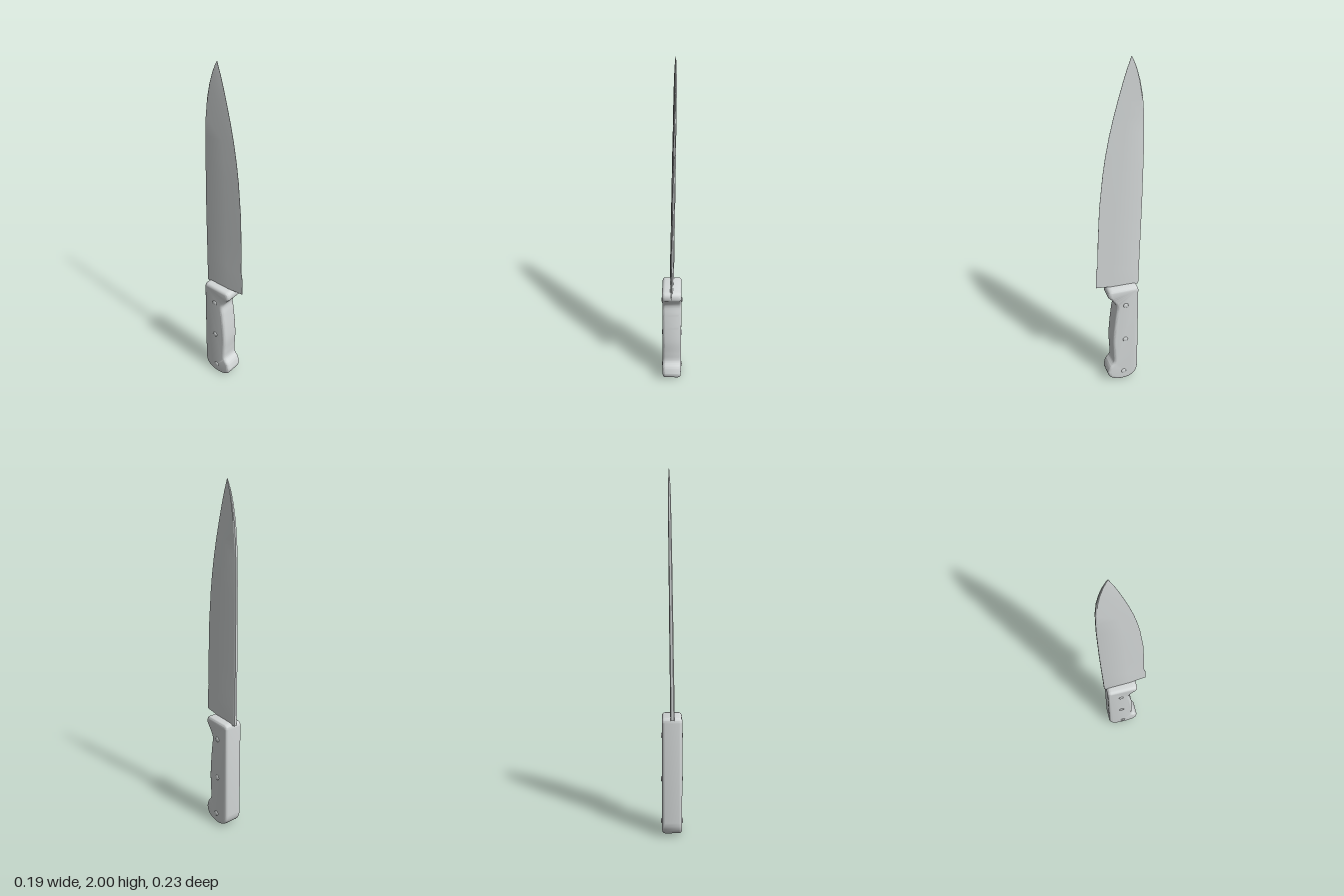
import * as THREE from 'three';
import { toCreasedNormals } from 'three/addons/utils/BufferGeometryUtils.js';

const steel = new THREE.MeshStandardMaterial({ color: 0xd5d9d9 });
steel.name = 'pale grey';

function addMesh(parent, geometry, name) {
  const mesh = new THREE.Mesh(geometry, steel);
  mesh.name = name;
  parent.add(mesh);
  return mesh;
}

// Blade: wedge cross-sections [height, spine x, cutting edge x, half thickness]
function bladeGeometry() {
  const rows = [
    [0.68, -0.112, 0.141, 0.012], [0.79, -0.114, 0.139, 0.012], [0.84, -0.115, 0.129, 0.012],
    [1.0, -0.119, 0.125, 0.011], [1.2, -0.123, 0.115, 0.011], [1.4, -0.125, 0.094, 0.010],
    [1.5, -0.126, 0.079, 0.010], [1.6, -0.125, 0.060, 0.009], [1.7, -0.123, 0.037, 0.009],
    [1.8, -0.114, 0.010, 0.008], [1.88, -0.099, -0.013, 0.007], [1.94, -0.082, -0.032, 0.005],
    [1.98, -0.066, -0.047, 0.003], [2.0, -0.056, -0.054, 0.001],
  ];
  const positions = [], index = [], n = 8;
  rows.forEach(([y, spine, edge, t], i) => {
    const w = edge - spine;
    const side = [[spine, 0.6 * t], [spine + 0.04 * w, t], [spine + 0.6 * w, 0.65 * t], [edge, 0.0008]];
    const loop = [...side, ...side.map(([x, z]) => [x, -z]).reverse()];
    const lean = -0.002 - 0.018 * (y - 0.68) / 1.32;
    for (const [x, z] of loop) positions.push(x, i === 0 ? y + 0.06 * x : y, z + lean);
  });
  const last = (rows.length - 1) * n;
  for (let i = 0; i < rows.length - 1; i++) {
    for (let j = 0; j < n; j++) {
      const a = i * n + j, b = i * n + (j + 1) % n;
      index.push(a, b, a + n, b, b + n, a + n);
    }
  }
  for (let j = 1; j < n - 1; j++) index.push(0, j + 1, j, last, last + j, last + j + 1);
  const geometry = new THREE.BufferGeometry();
  geometry.setAttribute('position', new THREE.Float32BufferAttribute(positions, 3));
  geometry.setIndex(index);
  return toCreasedNormals(geometry, 0.5);
}

// Handle: straight back, finger swell at the top, hooked butt, rounded edges
function handleGeometry() {
  const shape = new THREE.Shape();
  shape.moveTo(-0.1, 0.09);
  shape.bezierCurveTo(-0.1, 0.03, -0.06, 0.004, -0.005, 0.004);
  shape.bezierCurveTo(0.05, 0.004, 0.09, 0.03, 0.09, 0.075);
  shape.splineThru([[0.078, 0.115], [0.054, 0.15], [0.053, 0.21], [0.057, 0.3], [0.051, 0.4],
    [0.04, 0.5], [0.033, 0.56], [0.052, 0.6], [0.08, 0.635]].map(([x, y]) => new THREE.Vector2(x, y)));
  shape.quadraticCurveTo(0.09, 0.68, 0.055, 0.683);
  shape.lineTo(-0.075, 0.683);
  shape.quadraticCurveTo(-0.1, 0.683, -0.1, 0.655);
  shape.closePath();
  const bevel = 0.018, thickness = 0.112;
  const geometry = new THREE.ExtrudeGeometry(shape, {
    depth: thickness - 2 * bevel, bevelEnabled: true, bevelSize: bevel, bevelThickness: bevel,
    bevelOffset: -bevel, bevelSegments: 4, curveSegments: 8,
  });
  geometry.translate(0, 0, -thickness / 2 + bevel - 0.004);
  return toCreasedNormals(geometry, 0.7);
}

// Rivet: shallow domed head, turned to face along z
function rivetGeometry() {
  const profile = [[0.015, -0.004], [0.015, 0.002], [0.011, 0.005], [0, 0.006]];
  const geometry = new THREE.LatheGeometry(profile.map(([x, y]) => new THREE.Vector2(x, y)), 16);
  return geometry.rotateX(Math.PI / 2);
}

export function createModel() {
  const knife = new THREE.Group();
  knife.name = 'kitchenKnife';
  addMesh(knife, bladeGeometry(), 'blade');
  addMesh(knife, handleGeometry(), 'handle');

  // Three rivets on each side of the handle
  const rivet = rivetGeometry();
  for (const side of [1, -1]) {
    for (const [x, y] of [[-0.02, 0.57], [-0.018, 0.32], [-0.008, 0.07]]) {
      const head = addMesh(knife, rivet, 'rivet');
      head.position.set(x, y, side * 0.056 - 0.004);
      if (side < 0) head.rotation.y = Math.PI;
    }
  }

  // Whole knife turned on its upright axis
  knife.rotation.y = -0.953;
  const model = new THREE.Group();
  model.add(knife);
  return model;
}
